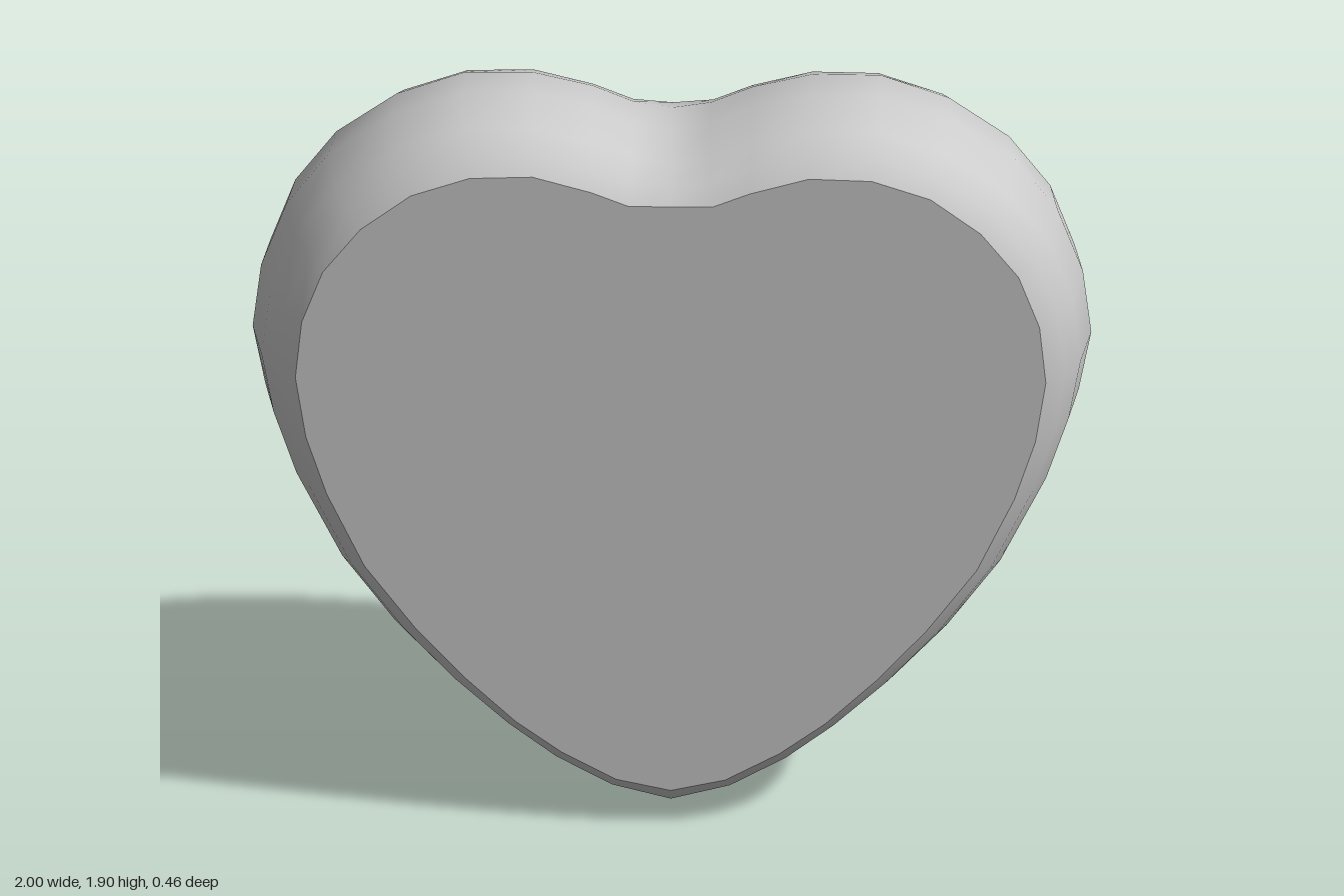
import * as THREE from 'three';

// Half outlines from the top notch round to the bottom point
const WIDEST = [[0, 1.805], [0.09, 1.825], [0.19, 1.87], [0.335, 1.905], [0.5, 1.905], [0.67, 1.84],
  [0.82, 1.73], [0.92, 1.59], [0.98, 1.42], [1, 1.25], [0.97, 1.09], [0.915, 0.92], [0.8, 0.68],
  [0.67, 0.495], [0.54, 0.35], [0.41, 0.23], [0.29, 0.13], [0.155, 0.05], [0, 0]];
const FACE = [[0, 1.73], [0.1, 1.73], [0.19, 1.768], [0.33, 1.81], [0.48, 1.805], [0.62, 1.755],
  [0.74, 1.66], [0.83, 1.54], [0.88, 1.4], [0.895, 1.245], [0.87, 1.08], [0.82, 0.92], [0.73, 0.72],
  [0.61, 0.55], [0.49, 0.41], [0.37, 0.29], [0.26, 0.205], [0.13, 0.13], [0, 0.1]];

// Rounded rim: depth z and share of the way from the widest outline to the face
const RIM = [[-0.23, 1], [-0.195, 0.56], [-0.13, 0.22], [0, 0], [0.13, 0.22], [0.195, 0.56], [0.23, 1]];

// Full closed loop, clockwise seen from the front
function outline(t) {
  const half = WIDEST.map(([x, y], i) => [
    THREE.MathUtils.lerp(x, FACE[i][0], t),
    THREE.MathUtils.lerp(y, FACE[i][1], t),
  ]);
  const mirrored = half.slice(1, -1).reverse().map(([x, y]) => [-x, y]);
  return half.concat(mirrored);
}

function rimGeometry() {
  const positions = [], index = [];
  const n = outline(0).length;
  for (const [z, t] of RIM) {
    for (const [x, y] of outline(t)) positions.push(x, y, z);
  }
  for (let r = 0; r < RIM.length - 1; r++) {
    for (let i = 0; i < n; i++) {
      const a = r * n + i, b = r * n + (i + 1) % n;
      index.push(a, a + n, b, b, a + n, b + n);
    }
  }
  const geometry = new THREE.BufferGeometry();
  geometry.setAttribute('position', new THREE.Float32BufferAttribute(positions, 3));
  geometry.setIndex(index);
  geometry.computeVertexNormals();
  return geometry;
}

export function createModel() {
  const model = new THREE.Group();
  model.name = 'heart';
  const grey = new THREE.MeshStandardMaterial({ color: 0xcccccc });
  grey.name = 'light grey';

  // Smooth rounded side wall
  const rim = new THREE.Mesh(rimGeometry(), grey);
  rim.name = 'roundedRim';
  model.add(rim);

  // Flat front and back faces
  const shape = new THREE.Shape(outline(1).map(([x, y]) => new THREE.Vector2(x, y)));
  const faceGeometry = new THREE.ShapeGeometry(shape);
  for (const [name, z, turn] of [['frontFace', 0.23, 0], ['backFace', -0.23, Math.PI]]) {
    const face = new THREE.Mesh(faceGeometry, grey);
    face.name = name;
    face.position.z = z;
    face.rotation.y = turn;
    model.add(face);
  }
  return model;
}
